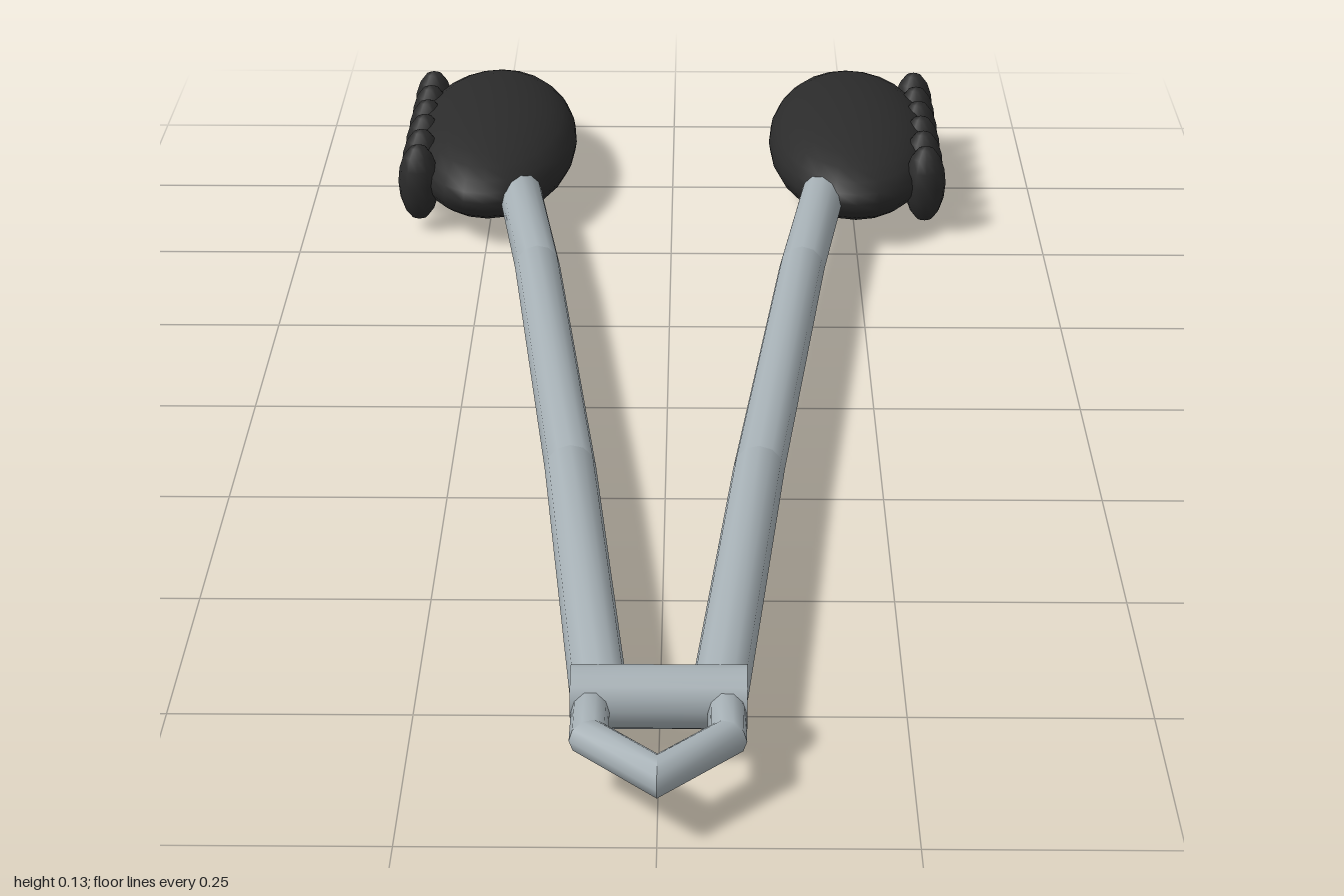
import * as THREE from 'three';
import { mergeGeometries } from 'three/addons/utils/BufferGeometryUtils.js';

const MID = 0.063; // height of the metal parts' centre line

// Round bar along a flat path of [x, z] points, with mitred corners.
function mitredBar(path, radius, sides) {
  const pts = path.map(([x, z]) => new THREE.Vector3(x, MID, z));
  const dirs = pts.slice(1).map((p, i) => p.clone().sub(pts[i]).normalize());
  const rings = pts.map((p, i) => {
    const a = dirs[Math.max(i - 1, 0)];
    const b = dirs[Math.min(i, dirs.length - 1)];
    const d = a.clone().add(b).normalize();
    const across = new THREE.Vector3(d.z, 0, -d.x).multiplyScalar(radius / d.dot(b));
    return Array.from({ length: sides }, (_, j) => {
      const t = (j / sides) * Math.PI * 2;
      const v = p.clone().addScaledVector(across, Math.cos(t));
      v.y += radius * Math.sin(t);
      return v;
    });
  });
  // one piece per straight length keeps the corners crisp
  const pieces = dirs.map((_, i) => {
    const geo = new THREE.BufferGeometry().setFromPoints([...rings[i], ...rings[i + 1]]);
    const index = [];
    for (let j = 0; j < sides; j++) {
      const k = (j + 1) % sides;
      index.push(j, k, sides + j, k, sides + k, sides + j);
    }
    for (let j = 1; j < sides - 1; j++) {
      if (i === 0) index.push(0, j + 1, j);
      if (i === dirs.length - 1) index.push(sides, sides + j, sides + j + 1);
    }
    geo.setIndex(index);
    geo.computeVertexNormals();
    return geo;
  });
  return mergeGeometries(pieces);
}

export function createModel() {
  const steel = new THREE.MeshStandardMaterial({ color: 0xa6b0b5 });
  steel.name = 'brushed steel';
  const rubber = new THREE.MeshStandardMaterial({ color: 0x2b2b2b });
  rubber.name = 'black rubber';

  const model = new THREE.Group();
  model.name = 'kitchenTongs';
  const add = (parent, name, geo, mat) => {
    const mesh = new THREE.Mesh(geo, mat);
    mesh.name = name;
    parent.add(mesh);
    return mesh;
  };

  // Hinge pin across the closed end
  const pin = add(model, 'hingePin', new THREE.CylinderGeometry(0.032, 0.032, 0.174, 16), steel);
  pin.rotation.z = Math.PI / 2;
  pin.position.set(0, MID, 0.82);

  // Pointed hanging loop
  const loop = [[-0.067, 0.82], [-0.067, 0.9], [0, 0.972], [0.067, 0.9], [0.067, 0.82]];
  add(model, 'hangingLoop', mitredBar(loop, 0.019, 10), steel);

  // Two mirrored arms, each with a paddle and gripping bumps
  for (const side of [-1, 1]) {
    const label = side > 0 ? 'left' : 'right';
    const half = new THREE.Group();
    half.name = label + 'Half';
    model.add(half);

    const armPath = [[0.059, 0.82], [0.106, 0.3], [0.17, -0.3], [0.207, -0.58]];
    add(half, label + 'Arm', mitredBar(armPath.map(([x, z]) => [side * x, z]), 0.029, 12), steel);

    const paddle = add(half, label + 'Paddle', new THREE.SphereGeometry(1, 24, 16), rubber);
    paddle.scale.set(0.115, 0.066, 0.245);
    paddle.position.set(side * 0.25, 0.067, -0.755);

    for (let i = 0; i < 6; i++) {
      const bump = add(half, label + 'GripBump', new THREE.SphereGeometry(1, 12, 8), rubber);
      bump.scale.set(0.028, 0.054, 0.028);
      bump.position.set(side * 0.345, 0.067, -0.9 + i * 0.061);
    }
  }
  return model;
}
